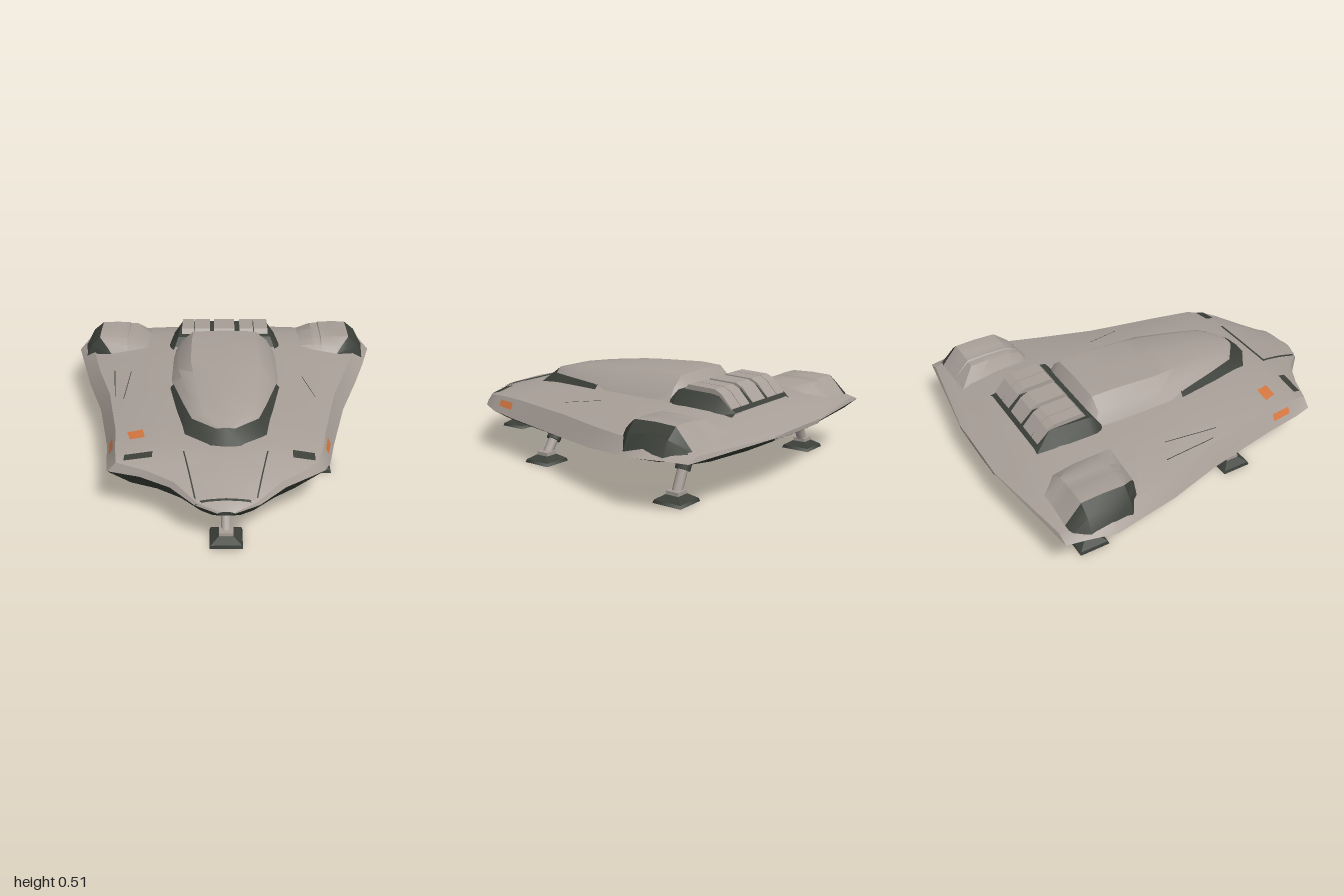
import * as THREE from 'three';
import { toCreasedNormals } from 'three/addons/utils/BufferGeometryUtils.js';

const paint = (name, color) => {
  const m = new THREE.MeshStandardMaterial({ color, side: THREE.DoubleSide });
  m.name = name;
  return m;
};

// Hull stations: z, right half width, left half width, rim y, shoulder y, mid y, centre y, keel y
const STATIONS = [
  [1.0, 0.04, 0.04, 0.21, 0.215, 0.22, 0.222, 0.2],
  [0.95, 0.15, 0.16, 0.225, 0.24, 0.25, 0.255, 0.165],
  [0.83, 0.27, 0.29, 0.245, 0.275, 0.295, 0.3, 0.125],
  [0.75, 0.42, 0.42, 0.255, 0.29, 0.315, 0.325, 0.12],
  [0.69, 0.585, 0.49, 0.25, 0.3, 0.335, 0.34, 0.118],
  [0.6, 0.597, 0.525, 0.235, 0.315, 0.355, 0.35, 0.115],
  [0.4, 0.615, 0.565, 0.222, 0.32, 0.375, 0.36, 0.105],
  [0, 0.69, 0.66, 0.215, 0.315, 0.388, 0.38, 0.105],
  [-0.3, 0.785, 0.765, 0.228, 0.315, 0.385, 0.38, 0.115],
  [-0.5, 0.837, 0.832, 0.25, 0.32, 0.383, 0.385, 0.13],
  [-0.68, 0.885, 0.885, 0.27, 0.325, 0.37, 0.385, 0.155],
  [-0.82, 0.85, 0.85, 0.272, 0.315, 0.345, 0.355, 0.19],
  [-0.92, 0.83, 0.83, 0.272, 0.295, 0.31, 0.315, 0.225],
  [-1.0, 0.22, 0.22, 0.275, 0.28, 0.285, 0.285, 0.262],
];
const lerp = THREE.MathUtils.lerp;

function station(z) {
  let i = 0;
  while (i < STATIONS.length - 2 && STATIONS[i + 1][0] > z) i++;
  const a = STATIONS[i], b = STATIONS[i + 1], t = (z - a[0]) / (b[0] - a[0]);
  return a.map((v, k) => lerp(v, b[k], t));
}

// Height of the upper hull at any x, z
function hullY(x, z) {
  const s = station(z), u = Math.min(1, Math.abs(x) / (x < 0 ? s[1] : s[2]));
  if (u > 0.92) return lerp(s[4], s[3], (u - 0.92) / 0.08);
  if (u > 0.5) return lerp(s[5], s[4], (u - 0.5) / 0.42);
  return lerp(s[6], s[5], u / 0.5);
}

// Skin between rows of points; rows run front to back, points run -x to +x for an upward face
function loft(rows, crease = 0.5) {
  const n = rows[0].length, index = [];
  for (let i = 0; i < rows.length - 1; i++)
    for (let j = 0; j < n - 1; j++) {
      const a = i * n + j, c = a + n;
      index.push(a, a + 1, c, a + 1, c + 1, c);
    }
  const g = new THREE.BufferGeometry();
  g.setAttribute('position', new THREE.Float32BufferAttribute(rows.flat(2), 3));
  g.setIndex(index);
  return toCreasedNormals(g, crease);
}

// Full symmetric row from half-section points listed from the centre outwards
const mirrorRow = (half) => [
  ...half.slice().reverse().map(([x, y, z]) => [-x, y, z]),
  ...half.filter((p) => p[0] > 0),
];

// Thin plate following the hull: corners [x, z] front -x, front +x, back -x, back +x
function patch([a, b, c, d], off) {
  const rows = [];
  for (let i = 0; i <= 8; i++) {
    const row = [];
    for (let j = 0; j <= 8; j++) {
      const u = j / 8, v = i / 8;
      const x = lerp(lerp(a[0], b[0], u), lerp(c[0], d[0], u), v);
      const z = lerp(lerp(a[1], b[1], u), lerp(c[1], d[1], u), v);
      row.push([x, hullY(x, z) + off, z]);
    }
    rows.push(row);
  }
  return loft(rows);
}
const rect = (x0, x1, z0, z1) => [[x0, z1], [x1, z1], [x0, z0], [x1, z0]];

export function createModel() {
  const model = new THREE.Group();
  const light = paint('warm grey hull', 0xa89f98);
  const dark = paint('dark grey', 0x3c4039);
  const orange = paint('orange marker', 0xd4763f);
  const add = (name, geo, mat, parent = model) => {
    const m = new THREE.Mesh(geo, mat);
    m.name = name;
    parent.add(m);
    return m;
  };

  // Upper and lower hull
  add('upperHull', loft(STATIONS.map(([z, r, l, yr, ys, ym, yc]) => [
    [-r, yr, z], [-r * 0.92, ys, z], [-r * 0.5, ym, z], [0, yc, z],
    [l * 0.5, ym, z], [l * 0.92, ys, z], [l, yr, z]])), light);
  add('lowerHull', loft(STATIONS.map(([z, r, l, yr, , , , yb]) => {
    const yo = lerp(yb, yr, 0.5), yi = lerp(yb, yr, 0.06);
    return [[l, yr, z], [l * 0.8, yo, z], [l * 0.42, yi, z], [0, yb, z],
      [-r * 0.42, yi, z], [-r * 0.8, yo, z], [-r, yr, z]];
  })), dark);
  const tail = STATIONS[STATIONS.length - 1];
  add('tailEdge', new THREE.BoxGeometry(0.44, 0.02, 0.01).translate(0, 0.273, tail[0] + 0.006), light);

  // Cabin roof: z, half width, edge y, crown y
  const roof = [
    [0.545, 0.05, 0.405, 0.415], [0.45, 0.17, 0.41, 0.44], [0.3, 0.215, 0.41, 0.465],
    [0.08, 0.275, 0.41, 0.49], [-0.05, 0.3, 0.375, 0.5], [-0.3, 0.3, 0.37, 0.515],
    [-0.42, 0.29, 0.37, 0.51], [-0.465, 0.27, 0.37, 0.45],
  ];
  const arch = [[0, 1], [0.62, 0.95], [0.85, 0.55], [1, 0]];
  add('cabinRoof', loft(roof.map(([z, w, ye, yt]) =>
    mirrorRow(arch.map(([u, v]) => [u * w, lerp(ye, yt, v), z])))), light);

  // Wraparound windscreen
  const sill = [[0, 0.63], [0.08, 0.62], [0.21, 0.53], [0.25, 0.33], [0.3, 0.06]];
  const head = [[0, 0.547, 0.41], [0.05, 0.545, 0.407], [0.17, 0.45, 0.41], [0.215, 0.3, 0.41], [0.276, 0.06, 0.41]];
  add('windscreen', loft([
    mirrorRow(sill.map(([x, z]) => [x, hullY(x, z) - 0.005, z])),
    mirrorRow(head.map(([x, z, y]) => [x, y, z])),
  ]), dark);

  // Rear engine bay with three curved covers
  add('engineBay', loft([
    [-0.43, 0.31, 0.29, 0.4], [-0.465, 0.34, 0.27, 0.45], [-0.5, 0.345, 0.27, 0.455],
    [-0.7, 0.315, 0.25, 0.45], [-0.79, 0.28, 0.25, 0.37],
  ].map(([z, wb, wt, y]) => mirrorRow([[0, y, z], [wt, y, z], [wb, 0.355, z]]))), dark);
  const cover = new THREE.Shape([[-0.49, 0.37], [-0.495, 0.455], [-0.515, 0.48], [-0.67, 0.475],
    [-0.71, 0.455], [-0.77, 0.39], [-0.78, 0.34]].map(([z, y]) => new THREE.Vector2(z, y)));
  for (const [x, w] of [[-0.215, 0.07], [-0.13, 0.09], [0, 0.12], [0.13, 0.08], [0.215, 0.08]]) {
    const g = new THREE.ExtrudeGeometry(cover, { depth: w, bevelEnabled: false });
    g.rotateY(-Math.PI / 2).translate(x + w / 2, 0, 0);
    add('engineCover', g, light);
  }

  // Wing pods with ribbed tops and dark outer vents
  const podTop = [[0.45, 0], [0.53, 0.82], [0.575, 0.84], [0.58, 0.95], [0.635, 0.97], [0.64, 1], [0.745, 0.97]];
  const podRows = [[-0.47, 0, 0.67], [-0.5, 0.5, 0.7], [-0.56, 0.95, 0.745], [-0.68, 1, 0.745], [-0.79, 0.95, 0.745], [-0.88, 0, 0.745]];
  for (const s of [-1, 1]) {
    const side = s < 0 ? 'right' : 'left';
    const order = (row) => (s < 0 ? row.reverse() : row);
    const topY = (x, z, lift, v) => lerp(hullY(x, z), 0.412, lift * v);
    add(side + 'PodCover', loft(podRows.map(([z, lift, xe]) => order(podTop.map(([x, v]) => {
      const px = Math.min(x, xe);
      return [s * px, topY(px, z, lift, v), z];
    })))), light);
    add(side + 'PodVent', loft(podRows.map(([z, lift, xe], i) => {
      const xo = [0.68, 0.76, 0.835, 0.845, 0.845, 0.8][i];
      return order([[s * xe, topY(xe, z, lift, 0.97), z],
        [s * lerp(xe, xo, 0.6), lerp(topY(xe, z, lift, 0.97), hullY(xo, z), 0.4), z],
        [s * xo, hullY(xo, z) - 0.005, z]]);
    })), dark);

    // Side running light
    const at = (z, u) => [s * station(z)[s < 0 ? 1 : 2] * u, z];
    const q = s < 0 ? [at(0.56, 0.975), at(0.56, 0.945), at(0.45, 0.975), at(0.45, 0.945)]
      : [at(0.56, 0.945), at(0.56, 0.975), at(0.45, 0.945), at(0.45, 0.975)];
    add(side + 'RunningLight', patch(q, 0.008), orange);
  }

  // Nose panel, front inlets, marker and panel seams
  add('nosePanelEdge', patch([[-0.145, 0.955], [0.145, 0.955], [-0.21, 0.66], [0.21, 0.66]], 0.003), dark);
  add('nosePanel', patch([[-0.14, 0.95], [0.14, 0.95], [-0.203, 0.667], [0.203, 0.667]], 0.009), light);
  add('rightInlet', patch(rect(-0.5, -0.36, 0.65, 0.69), 0.006), dark);
  add('leftInlet', patch(rect(0.33, 0.44, 0.64, 0.69), 0.006), dark);
  add('topMarker', patch([[-0.48, 0.53], [-0.405, 0.53], [-0.5, 0.46], [-0.42, 0.46]], 0.007), orange);
  for (const [x0, z0, x1, z1] of [[0.49, 0.1, 0.43, -0.1], [-0.55, 0.1, -0.53, -0.2], [-0.6, 0.05, -0.63, -0.25]])
    add('panelSeam', patch([[x0 - 0.002, z0], [x0 + 0.002, z0], [x1 - 0.002, z1], [x1 + 0.002, z1]], 0.004), dark);

  // Landing legs: foot position and hull mount
  const strut = (a, b, r) => {
    const d = new THREE.Vector3().subVectors(b, a);
    const g = new THREE.CylinderGeometry(r, r, d.length(), 10);
    g.applyQuaternion(new THREE.Quaternion().setFromUnitVectors(new THREE.Vector3(0, 1, 0), d.clone().normalize()));
    return g.translate((a.x + b.x) / 2, (a.y + b.y) / 2, (a.z + b.z) / 2);
  };
  const pad = (w, top, h) => new THREE.CylinderGeometry(top / Math.SQRT2, w / Math.SQRT2, h, 4).rotateY(Math.PI / 4).toNonIndexed();
  const legs = [['noseLeg', 0, 0.91, 0, 0.77, 0.14]];
  for (const s of [-1, 1]) {
    const side = s < 0 ? 'right' : 'left';
    legs.push([side + 'MiddleLeg', s * 0.49, 0.24, s * 0.4, 0.24, 0.16], [side + 'RearLeg', s * 0.61, -0.7, s * 0.53, -0.7, 0.22]);
  }
  for (const [name, fx, fz, mx, mz, my] of legs) {
    const leg = new THREE.Group();
    leg.name = name;
    model.add(leg);
    const a = new THREE.Vector3(fx, 0.035, fz), b = new THREE.Vector3(mx, my, mz);
    add('footPad', pad(0.16, 0.15, 0.016).translate(fx, 0.008, fz), dark, leg);
    const cap = pad(0.15, 0.075, 0.024);
    cap.computeVertexNormals();
    add('footCap', cap.translate(fx, 0.028, fz), dark, leg);
    add('ankle', new THREE.BoxGeometry(0.07, 0.025, 0.07).translate(fx, 0.046, fz), light, leg);
    add('strut', strut(a, b, 0.026), light, leg);
    add('sleeve', strut(a.clone().lerp(b, 0.6), b, 0.038), dark, leg);
  }
  return model;
}
